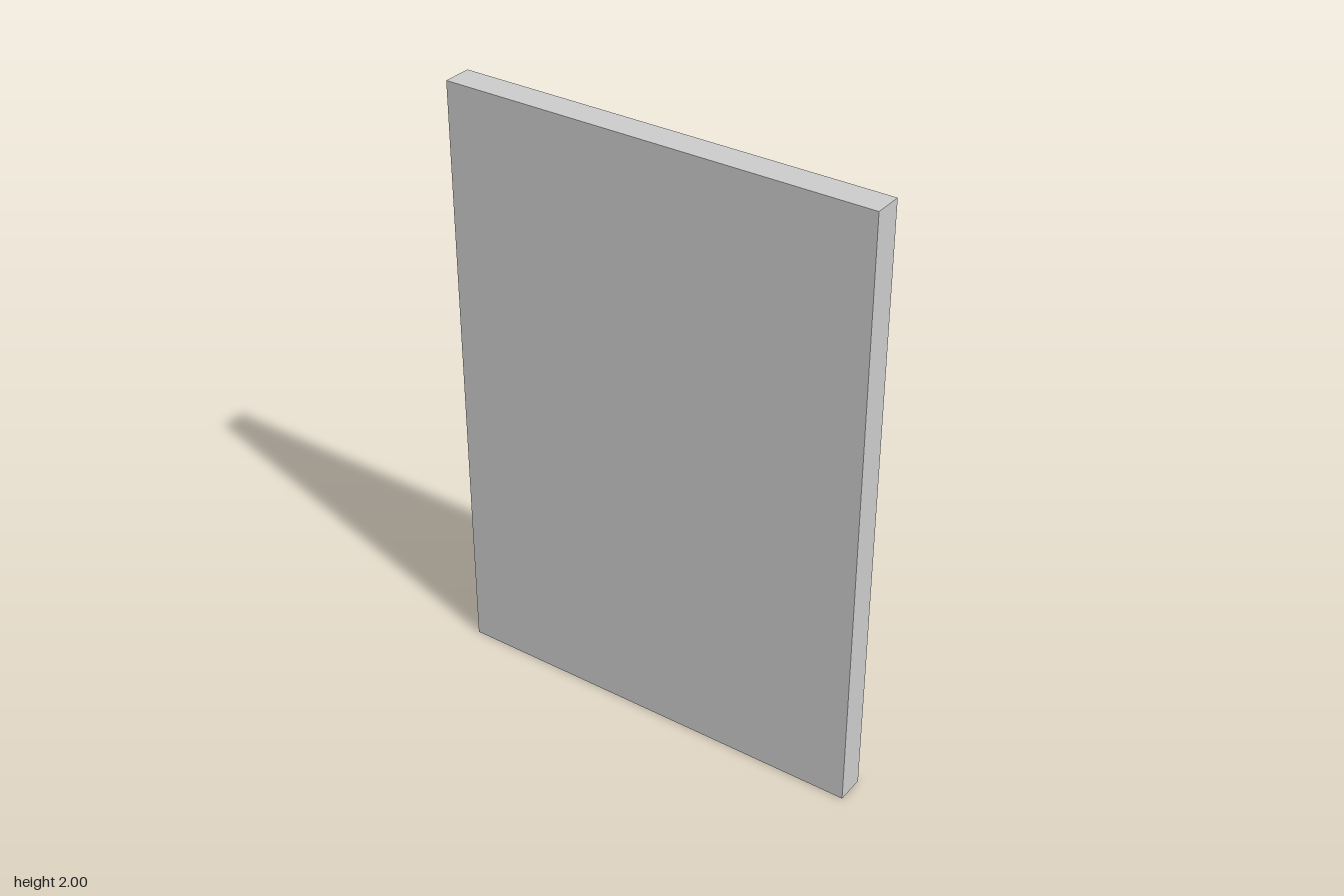
import * as THREE from 'three';

const WIDTH = 1.424, HEIGHT = 2, DEPTH = 0.095;
const RECESS = 0.057; // how far the back is sunk in
const INNER = 0.825;  // size of the sunken floor relative to the outline

// Four corners of a rectangle, counter-clockwise seen from the front
function rectRing(scale, z) {
  const w = (WIDTH / 2) * scale, h = (HEIGHT / 2) * scale;
  return [[-w, -h, z], [w, -h, z], [w, h, z], [-w, h, z]];
}

// Skin a series of rings, closing the first and the last with a flat face
function skinRings(rings) {
  const points = [];
  const quad = (a, b, c, d) => points.push(...a, ...b, ...c, ...a, ...c, ...d);
  quad(...rings[0]);
  for (let r = 0; r < rings.length - 1; r++) {
    for (let i = 0; i < 4; i++) {
      const j = (i + 1) % 4;
      quad(rings[r][i], rings[r + 1][i], rings[r + 1][j], rings[r][j]);
    }
  }
  quad(...rings[rings.length - 1].slice().reverse());
  const geometry = new THREE.BufferGeometry();
  geometry.setAttribute('position', new THREE.Float32BufferAttribute(points, 3));
  geometry.computeVertexNormals();
  return geometry;
}

export function createModel() {
  const group = new THREE.Group();
  group.name = 'recessedPanel';

  // Flat front, straight edges, and a back that slopes in to a sunken floor
  const geometry = skinRings([
    rectRing(1, DEPTH / 2),
    rectRing(1, -DEPTH / 2),
    rectRing(INNER, -DEPTH / 2 + RECESS),
  ]);
  const material = new THREE.MeshStandardMaterial({ color: 0xcccccc, flatShading: true });
  const panel = new THREE.Mesh(geometry, material);
  panel.name = 'panel';
  panel.position.y = HEIGHT / 2;
  group.add(panel);

  return group;
}
